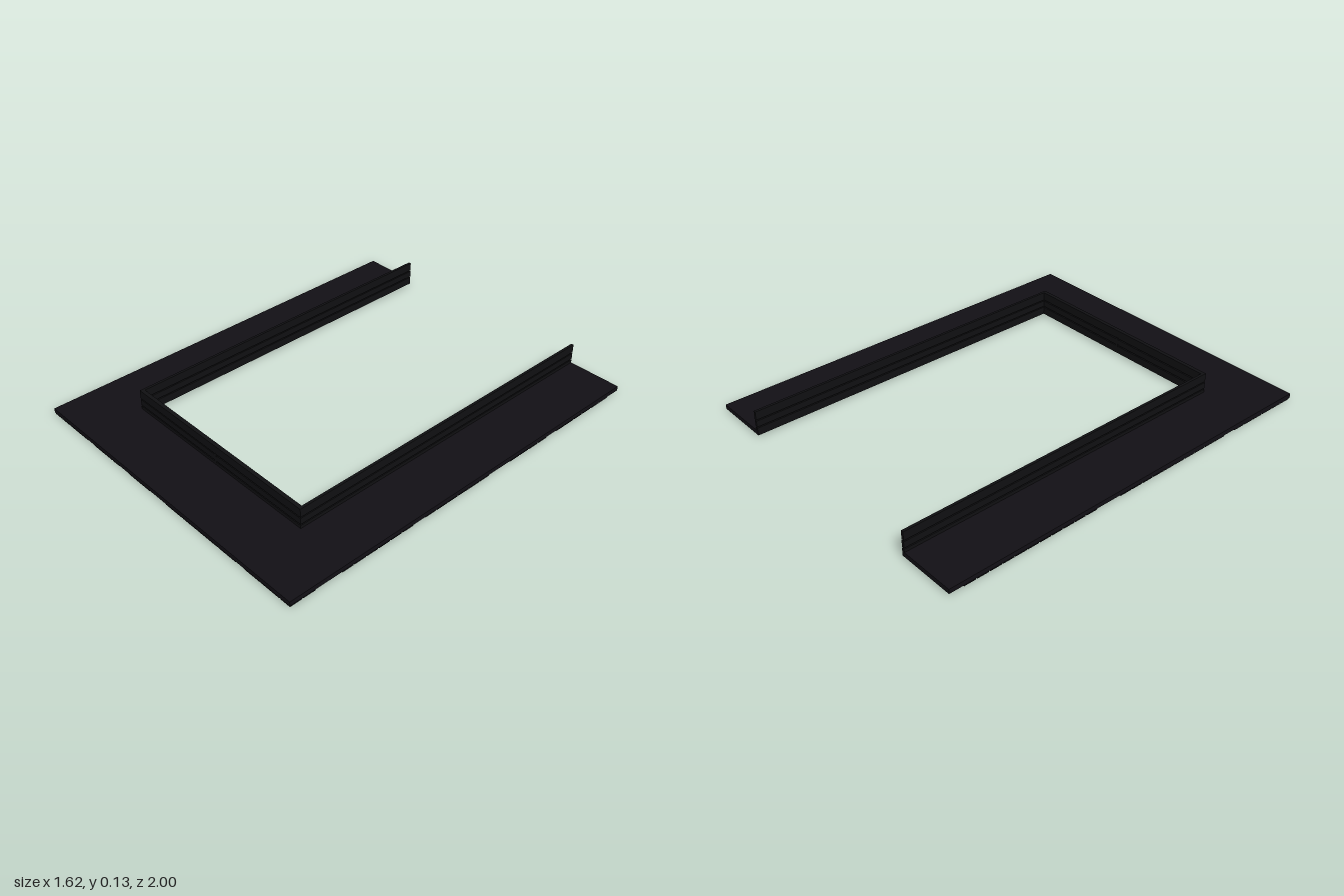
import * as THREE from 'three';
import { mergeGeometries } from 'three/addons/utils/BufferGeometryUtils.js';

const HALF_W = 0.81, INNER_X = 0.531, INNER_Z = 0.695;
const BASE = 0.008, DECK = 0.03;

// U-shaped outline, open towards the back, extruded upwards from y0 to y1
function uShape(outX, outZ, inX, inZ, y0, y1) {
  const pts = [[-outX, 1], [-outX, -outZ], [outX, -outZ], [outX, 1],
    [inX, 1], [inX, -inZ], [-inX, -inZ], [-inX, 1]];
  const shape = new THREE.Shape(pts.map(([x, y]) => new THREE.Vector2(x, y)));
  const geo = new THREE.ExtrudeGeometry(shape, { depth: y1 - y0, bevelEnabled: false });
  return geo.rotateX(-Math.PI / 2).translate(0, y0, 0);
}

function box(x0, x1, y0, y1, z0, z1) {
  return new THREE.BoxGeometry(x1 - x0, y1 - y0, z1 - z0)
    .translate((x0 + x1) / 2, (y0 + y1) / 2, (z0 + z1) / 2);
}

// Small seeded generator for the underside panelling
function seeded(seed) {
  return () => {
    seed = (seed * 16807) % 2147483647;
    return seed / 2147483647;
  };
}

// Staggered plates filling a rectangle, one row at a time
function plateRows(out, x0, x1, z0, z1, rand) {
  const rows = Math.round((z1 - z0) / 0.065), step = (z1 - z0) / rows, gap = 0.003;
  for (let r = 0; r < rows; r++) {
    const za = z0 + r * step;
    let x = x0;
    while (x < x1 - 0.01) {
      let end = x + 0.05 + rand() * 0.12;
      if (x1 - end < 0.04) end = x1;
      if (rand() > 0.12) out.push(box(x + gap, end - gap, 0, BASE + 0.002, za + gap, za + step - gap));
      x = end;
    }
  }
}

export function createModel() {
  const group = new THREE.Group();
  group.name = 'walkway';
  const deckMat = new THREE.MeshStandardMaterial({ color: 0x121015 });
  const railMat = new THREE.MeshStandardMaterial({ color: 0x101012 });
  const plateMat = new THREE.MeshStandardMaterial({ color: 0x0b0b0d });

  const add = (name, geo, mat) => {
    const mesh = new THREE.Mesh(geo, mat);
    mesh.name = name;
    group.add(mesh);
  };

  // Walking surface
  add('deck', uShape(HALF_W, 1, INNER_X, INNER_Z, BASE, DECK), deckMat);

  // Inner parapet: three stacked boards with narrow slots between them
  [['lowerBoard', BASE, 0.0455], ['middleBoard', 0.0515, 0.082], ['upperBoard', 0.088, 0.13]]
    .forEach(([name, y0, y1]) => add(name, uShape(0.541, 0.711, 0.528, 0.692, y0, y1), railMat));

  // Short post joining the boards at the middle of the front run
  add('centrePost', box(-0.007, 0.007, 0.042, 0.092, 0.69, 0.7115), railMat);

  // Panelling under both arms and the front strip, with clear lanes between sections
  const plates = [];
  const rand = seeded(417);
  for (const side of [-1, 1]) {
    const [x0, x1] = side < 0 ? [-HALF_W, -0.541] : [0.541, HALF_W];
    plateRows(plates, x0, x1, -0.93, -0.24, rand);
    plateRows(plates, x0, x1, -0.11, 1, rand);
  }
  plateRows(plates, -0.49, 0.49, 0.70, 1, rand);
  add('undersidePlates', mergeGeometries(plates), plateMat);

  return group;
}
